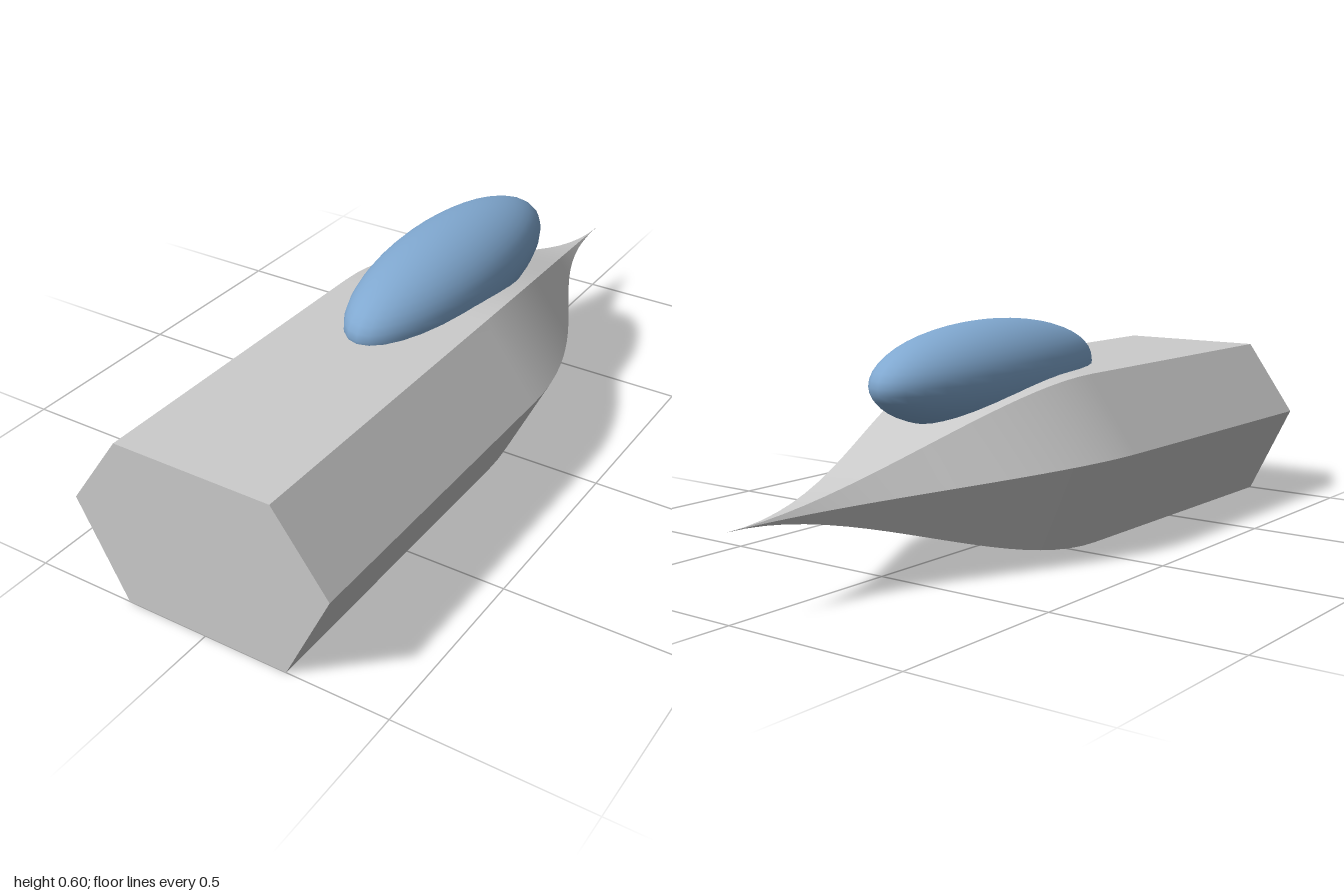
import * as THREE from 'three';

// Hexagonal hull section, counter-clockwise seen from the front
const SECTION = [
  [0.357, 0.256], [0.214, 0.455], [-0.214, 0.455],
  [-0.357, 0.256], [-0.228, 0], [0.228, 0],
];
const TIP_Y = 0.208, TAPER_START = 0.1, STEPS = 20;

// Ring of the hull: the section shrinks to the tail tip along a cosine curve
function ring(z) {
  const t = Math.max(0, (TAPER_START - z) / (TAPER_START + 1));
  const s = 0.5 * (1 + Math.cos(Math.PI * t));
  return SECTION.map(([x, y]) => [x * s, TIP_Y + (y - TIP_Y) * s, z]);
}

// One strip per hull side, so it is smooth lengthwise and sharp at the edges
function hullGeometry() {
  const rings = [ring(1)];
  for (let i = 0; i <= STEPS; i++) {
    rings.push(ring(TAPER_START - (TAPER_START + 1) * i / STEPS));
  }
  const pos = [], idx = [], n = SECTION.length;
  for (let k = 0; k < n; k++) {
    const base = pos.length / 3;
    rings.forEach((r) => pos.push(...r[k], ...r[(k + 1) % n]));
    for (let i = 0; i < rings.length - 1; i++) {
      const a = base + 2 * i;
      idx.push(a, a + 2, a + 1, a + 1, a + 2, a + 3);
    }
  }
  // Flat front cap
  const base = pos.length / 3;
  rings[0].forEach((p) => pos.push(...p));
  for (let k = 1; k < n - 1; k++) idx.push(base, base + k, base + k + 1);

  const geo = new THREE.BufferGeometry();
  geo.setAttribute('position', new THREE.Float32BufferAttribute(pos, 3));
  geo.setIndex(idx);
  geo.computeVertexNormals();
  return geo;
}

export function createModel() {
  const group = new THREE.Group();

  // Hull with tapering tail
  const hull = new THREE.Mesh(hullGeometry(), new THREE.MeshStandardMaterial({ color: 0xcccccc }));
  hull.name = 'hull';
  group.add(hull);

  // Ellipsoid canopy half sunk in the hull
  const canopy = new THREE.Mesh(
    new THREE.SphereGeometry(1, 32, 24),
    new THREE.MeshStandardMaterial({ color: 0x80a8d0 }),
  );
  canopy.name = 'canopy';
  canopy.scale.set(0.157, 0.137, 0.436);
  canopy.position.set(0, 0.463, -0.07);
  group.add(canopy);

  return group;
}
